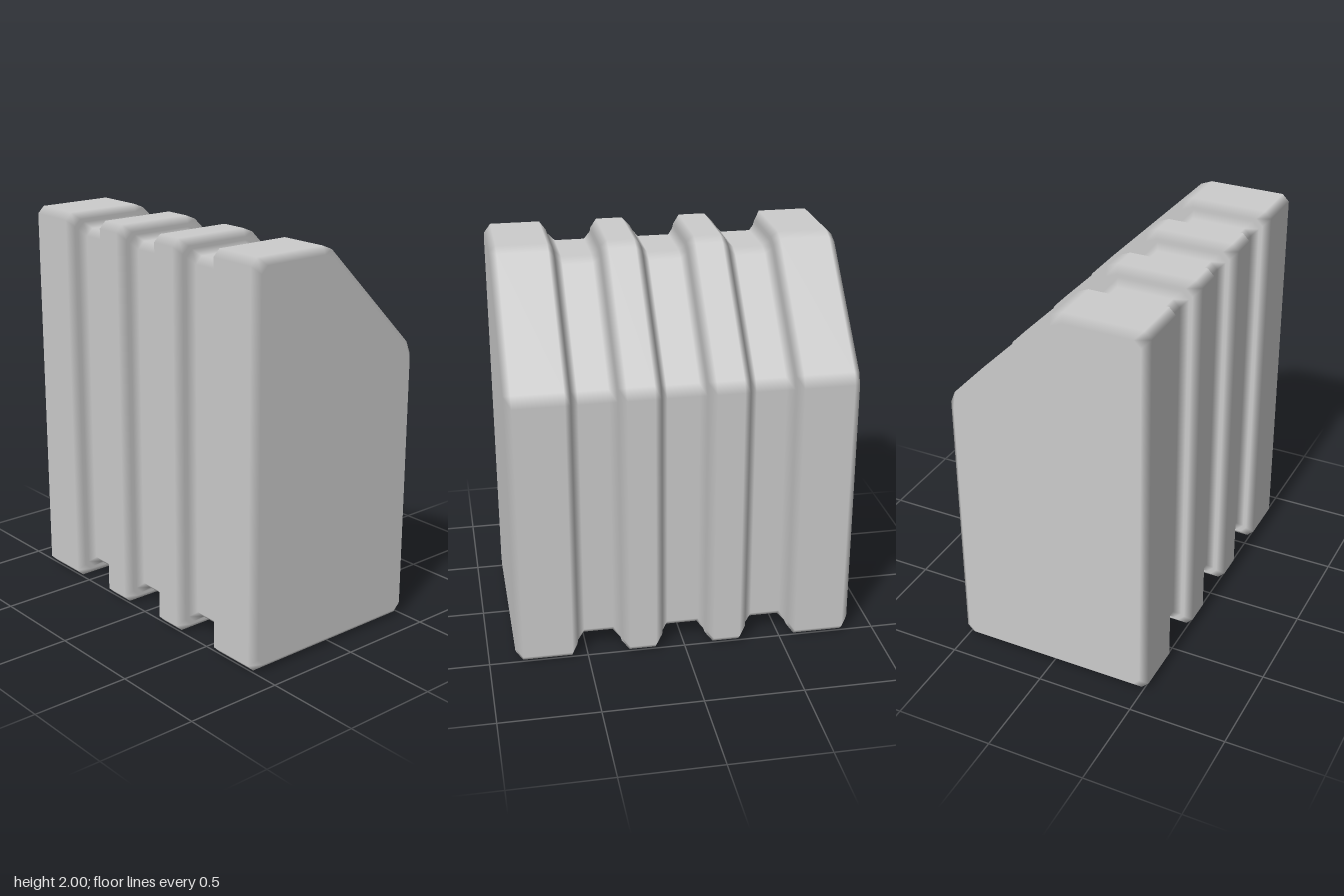
import * as THREE from 'three';

// Pentagonal outline, counter-clockwise seen from the front
const CORNERS = [[-0.52, 0], [0.52, 0], [0.52, 1.425], [-0.055, 2], [-0.52, 2]].map(([x, y]) => new THREE.Vector2(x, y));
const CORNER_CUT = 0.035;

// Rib profile along z: [z, inset of the outline, how far the normal leans along z]
const HALF_PROFILE = [
  [0.865, 0.035, 1], [0.83, 0, 0], [0.58, 0, 0], // end slab
  [0.55, 0.035, -1], [0.545, 0.05, -1], [0.51, 0.08, 0], // outer groove
  [0.36, 0.08, 0], [0.325, 0.05, 1], [0.32, 0.035, 1],
  [0.285, 0, 0], [0.15, 0, 0], // middle rib
  [0.115, 0.035, -1], [0.11, 0.05, -1], [0.08, 0.08, 0], // central groove
];

// Outline moved inwards, each corner cut into two points carrying their side's normal
function bevelledOutline(inset) {
  const n = CORNERS.length;
  const dirs = CORNERS.map((p, i) => CORNERS[(i + 1) % n].clone().sub(p).normalize());
  const normals = dirs.map((d) => new THREE.Vector2(d.y, -d.x));
  return CORNERS.flatMap((p, i) => {
    const prev = (i + n - 1) % n;
    const n1 = normals[prev], n2 = normals[i];
    const corner = p.clone().addScaledVector(n1.clone().add(n2), -inset / (1 + n1.dot(n2)));
    return [
      { point: corner.clone().addScaledVector(dirs[prev], -CORNER_CUT), normal: n1 },
      { point: corner.clone().addScaledVector(dirs[i], CORNER_CUT), normal: n2 },
    ];
  });
}

// Skin the outline along the profile and close both ends
function ribbedGeometry(profile) {
  const positions = [], normals = [], index = [];
  const count = CORNERS.length * 2;
  for (const [z, inset, lean] of profile) {
    for (const { point, normal } of bevelledOutline(inset)) {
      const side = 1 - Math.abs(lean);
      positions.push(point.x, point.y, z);
      normals.push(normal.x * side, normal.y * side, lean);
    }
  }
  for (let i = 0; i < profile.length - 1; i++) {
    for (let j = 0; j < count; j++) {
      const k = (j + 1) % count;
      const a = i * count + j, b = i * count + k;
      index.push(a, a + count, b, b, a + count, b + count);
    }
  }
  const last = (profile.length - 1) * count;
  for (let j = 1; j < count - 1; j++) {
    index.push(0, j, j + 1, last, last + j + 1, last + j);
  }
  const geometry = new THREE.BufferGeometry();
  geometry.setAttribute('position', new THREE.Float32BufferAttribute(positions, 3));
  geometry.setAttribute('normal', new THREE.Float32BufferAttribute(normals, 3));
  geometry.setIndex(index);
  return geometry;
}

export function createModel() {
  const group = new THREE.Group();
  group.name = 'ribbedBlock';
  // The back half mirrors the front half
  const mirrored = HALF_PROFILE.map(([z, inset, lean]) => [-z, inset, -lean]).reverse();
  const body = new THREE.Mesh(
    ribbedGeometry([...HALF_PROFILE, ...mirrored]),
    new THREE.MeshStandardMaterial({ color: 0xcccccc }),
  );
  body.name = 'ribbedBody';
  group.add(body);
  return group;
}
